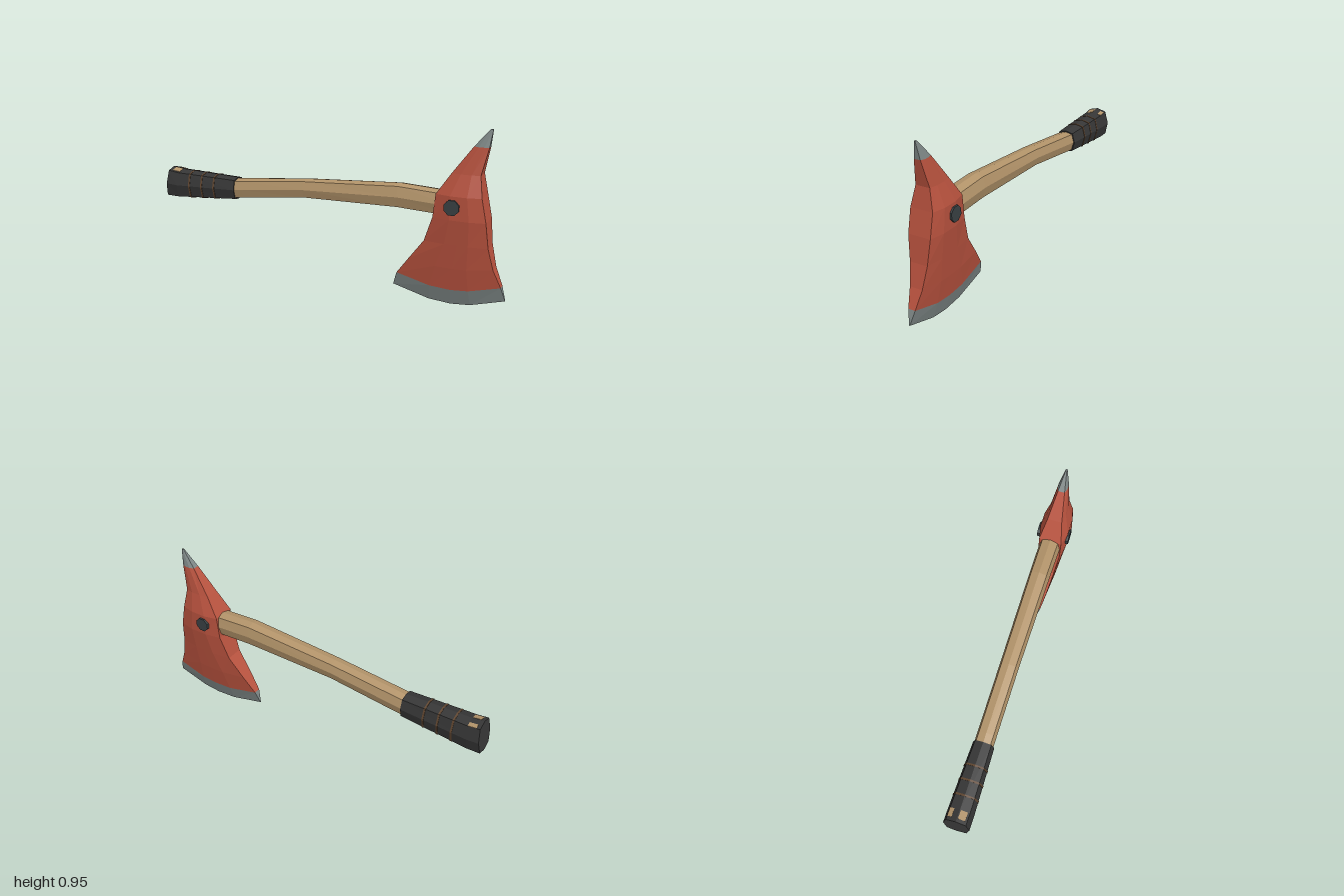
import * as THREE from 'three';

const mat = (name, color) => {
  const m = new THREE.MeshStandardMaterial({ color, flatShading: true });
  m.name = name;
  return m;
};

// Skin a list of equal-length rings (counter-clockwise about the direction of travel) and close both ends.
function loft(rings) {
  const pos = [];
  const tri = (...pts) => pts.forEach((p) => pos.push(p.x, p.y, p.z));
  const n = rings[0].length;
  for (let i = 0; i < rings.length - 1; i++) {
    for (let j = 0; j < n; j++) {
      const k = (j + 1) % n;
      const [a, b, c, d] = [rings[i][j], rings[i][k], rings[i + 1][k], rings[i + 1][j]];
      tri(a, b, c);
      tri(a, c, d);
    }
  }
  const first = rings[0], last = rings[rings.length - 1];
  for (let j = 1; j < n - 1; j++) {
    tri(first[0], first[j + 1], first[j]);
    tri(last[0], last[j], last[j + 1]);
  }
  const g = new THREE.BufferGeometry();
  g.setAttribute('position', new THREE.Float32BufferAttribute(pos, 3));
  g.computeVertexNormals();
  return g;
}

// Eight-sided shaft section as [z, y] factors, running from the top toward +z.
const SHAFT = [[0, 1], [0.75, 0.84], [1, 0], [0.75, -0.84], [0, -1], [-0.75, -0.84], [-1, 0], [-0.75, 0.84]];
const shaftRing = ([x, y, h, w, lean = 0]) =>
  SHAFT.map(([z, v]) => new THREE.Vector3(x + lean * v, y + h * v, w * z));

// Head section at one height: wide middle, narrower front and back edges, sagging centre.
const COLS = [[0, 0, 0], [0.33, 1, 0.85], [0.53, 1, 1], [0.7, 1, 0.85], [1, 0, 0]];
function headRing([y, xl, xr, edge, mid, sag = 0]) {
  const side = (s) => COLS.map(([f, t, d]) => new THREE.Vector3(
    xl + (xr - xl) * f, y - sag * d, s * (edge + (mid - edge) * t)));
  return [...side(1), ...side(-1).reverse()];
}

export function createModel() {
  const red = mat('red paint', 0xb8523e);
  const steel = mat('bare steel', 0x7d8685);
  const wood = mat('wood', 0xb3946a);
  const rubber = mat('black grip', 0x363636);
  const cord = mat('brown cord', 0x604630);
  const iron = mat('dark iron', 0x394043);

  const model = new THREE.Group();
  model.name = 'fireAxe';
  const add = (name, geometry, material, parent = model) => {
    const m = new THREE.Mesh(geometry, material);
    m.name = name;
    parent.add(m);
    return m;
  };

  // Curved wooden handle: x, centre y, half height, half width
  add('handle', loft([
    [-0.6, 0.49, 0.055, 0.052], [-0.5, 0.5, 0.057, 0.052], [-0.12, 0.542, 0.053, 0.052],
    [0.42, 0.565, 0.066, 0.057], [0.75, 0.549, 0.064, 0.06],
  ].map(shaftRing)), wood);

  // Grip flaring toward a slanted butt
  const grip = new THREE.Group();
  grip.name = 'grip';
  model.add(grip);
  const gripStations = [
    [-0.99, 0.491, 0.089, 0.07, 0.01], [-0.92, 0.486, 0.085, 0.07, 0.005], [-0.55, 0.494, 0.064, 0.058],
  ];
  add('gripSleeve', loft(gripStations.map(shaftRing)), rubber, grip);

  // Cord wraps
  for (const x of [-0.84, -0.76, -0.68]) {
    const t = (x + 0.92) / 0.37;
    const y = 0.486 + 0.008 * t, h = 0.0865 - 0.019 * t, w = 0.0715 - 0.01 * t;
    add('cordWrap', loft([[x - 0.005, y, h, w], [x + 0.005, y, h, w]].map(shaftRing)), cord, grip);
  }

  // Worn patches of wood on the upper slopes of the butt
  const [buttA, buttB] = gripStations.map(shaftRing);
  for (const [i, j, u0, u1] of [[0, 1, 0.1, 0.8], [7, 0, 0, 0.45]]) {
    const at = (s, u) => {
      const p = buttA[i].clone().lerp(buttA[j], u);
      const q = buttB[i].clone().lerp(buttB[j], u);
      return p.lerp(q, s).add(new THREE.Vector3(0, 0.002, 0));
    };
    const patch = [at(0.3, u0), at(0.3, u1), at(1, u1), at(1, u0)];
    const base = patch.map((p) => p.clone().setY(p.y - 0.006));
    add('wornPatch', loft([base, patch].map((r) => r.slice().reverse())), wood, grip).material.side = THREE.DoubleSide;
  }

  // Axe head: y, left x, right x, edge half thickness, middle half thickness, sag
  const rows = [
    [0.066, 0.395, 1.0, 0.002, 0.002, 0.062],
    [0.14, 0.418, 0.977, 0.02, 0.026, 0.05],
    [0.235, 0.487, 0.936, 0.036, 0.046, 0.02],
    [0.35, 0.572, 0.908, 0.05, 0.063],
    [0.485, 0.617, 0.893, 0.063, 0.08],
    [0.61, 0.63, 0.867, 0.063, 0.08],
    [0.72, 0.702, 0.85, 0.04, 0.05],
    [0.86, 0.803, 0.88, 0.018, 0.027],
    [0.95, 0.878, 0.892, 0.003, 0.005],
  ].map(headRing);
  const head = new THREE.Group();
  head.name = 'head';
  model.add(head);
  add('cuttingEdge', loft(rows.slice(0, 2)), steel, head);
  add('headBody', loft(rows.slice(1, 8)), red, head);
  add('spikeTip', loft(rows.slice(7)), steel, head);

  // Octagonal pin through the head
  const pin = add('pin', new THREE.CylinderGeometry(0.042, 0.042, 0.18, 8), iron, head);
  pin.geometry.rotateY(Math.PI / 8).rotateX(Math.PI / 2);
  pin.position.set(0.72, 0.552, 0);

  return model;
}
